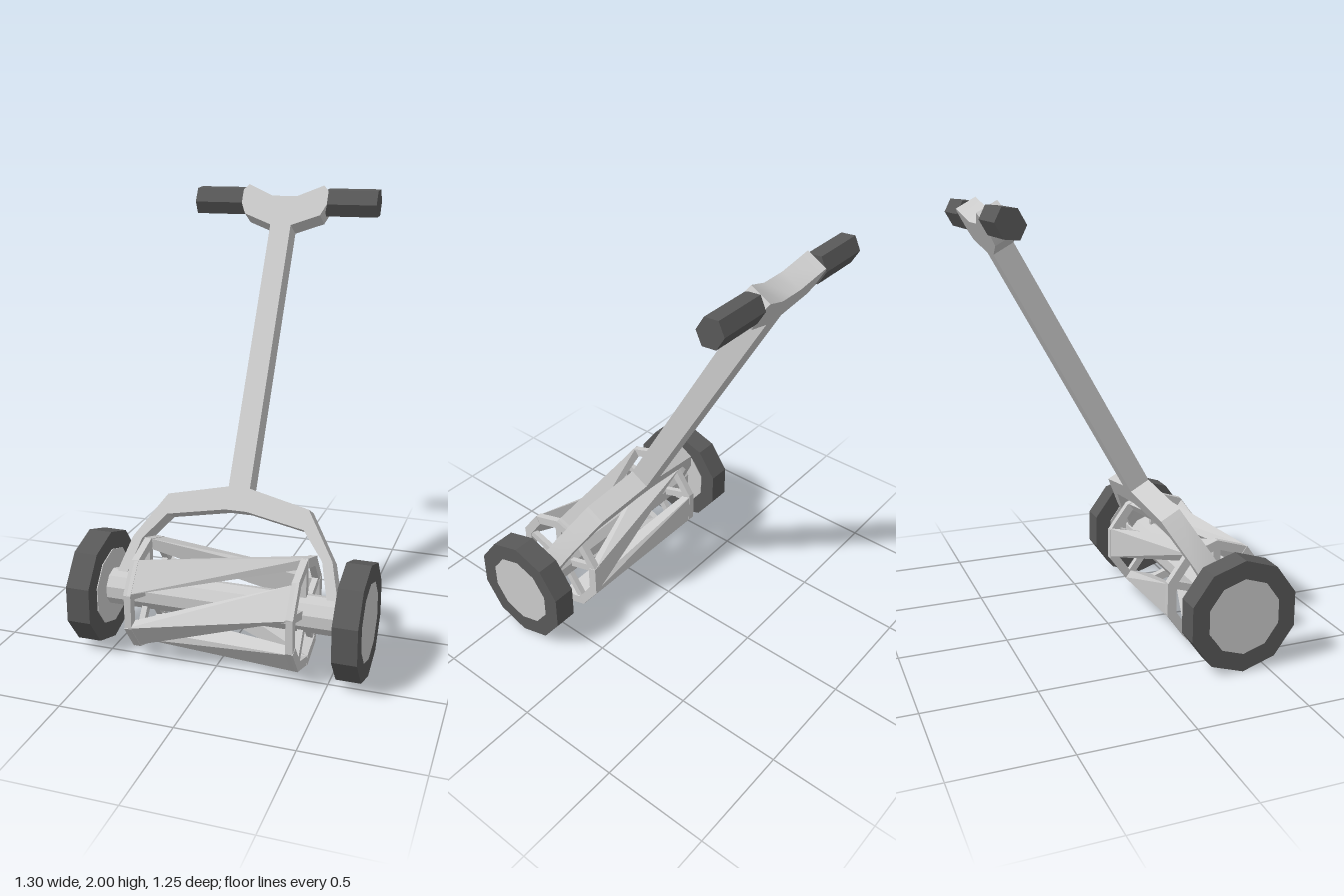
import * as THREE from 'three';
import { toCreasedNormals } from 'three/addons/utils/BufferGeometryUtils.js';

const AXLE_Y = 0.257, AXLE_Z = 0.383;
const TILT = THREE.MathUtils.degToRad(29.3);
const STEP = Math.PI / 5; // ten-sided wheels and reel
const REEL_R = 0.253, REEL_INNER = 0.208, REEL_X = 0.378;

const metal = new THREE.MeshStandardMaterial({ color: 0xcccccc, flatShading: true });
const smoothMetal = new THREE.MeshStandardMaterial({ color: 0xcccccc });
const rubber = new THREE.MeshStandardMaterial({ color: 0x595959, flatShading: true });

function add(parent, name, geometry, material) {
  const mesh = new THREE.Mesh(geometry, material);
  mesh.name = name;
  parent.add(mesh);
  return mesh;
}

// Prism lying along x, with a corner pointing up
function prismX(radius, x0, x1, sides) {
  return new THREE.CylinderGeometry(radius, radius, x1 - x0, sides, 1, false, Math.PI / 2)
    .rotateZ(-Math.PI / 2)
    .translate((x0 + x1) / 2, 0, 0);
}

function decagon(radius) {
  const points = [];
  for (let i = 0; i < 10; i++) {
    const a = Math.PI / 2 + i * STEP;
    points.push(new THREE.Vector2(radius * Math.cos(a), radius * Math.sin(a)));
  }
  return points;
}

// Flat end ring of the reel, or tyre
function ringX(outer, inner, x0, x1) {
  const shape = new THREE.Shape(decagon(outer));
  shape.holes.push(new THREE.Path(decagon(inner)));
  return new THREE.ExtrudeGeometry(shape, { depth: x1 - x0, bevelEnabled: false })
    .rotateY(Math.PI / 2)
    .translate(x0, 0, 0);
}

// Box bent into a blade: one decagon side wide, turned by two sides from end to end
function bladeGeometry(start) {
  const geometry = new THREE.BoxGeometry(1, 1, 1);
  const p = geometry.attributes.position;
  for (let i = 0; i < p.count; i++) {
    const right = p.getY(i) > 0;
    const a = start + (p.getX(i) > 0 ? STEP : 0) + (right ? 2 * STEP : 0);
    const r = p.getZ(i) < 0 ? REEL_R : REEL_INNER;
    p.setXYZ(i, right ? REEL_X : -REEL_X, r * Math.sin(a), r * Math.cos(a));
  }
  geometry.computeVertexNormals();
  return geometry;
}

// Yoke, shaft and crosspiece cut from one plate
function frameGeometry() {
  const half = [
    [0, 1.915], [0.06, 1.915], [0.185, 1.972], [0.21, 1.945], [0.21, 1.875], [0.185, 1.82],
    [0.05, 1.767], [0.05, 0.5], [0.33, 0.437], [0.465, 0.225], [0.51, 0.06],
    [0.462, 0.06], [0.42, 0.22], [0.32, 0.345], [0.05, 0.395], [0, 0.395],
  ];
  const mirrored = half.slice(1, -1).reverse().map(([x, y]) => [-x, y]);
  const shape = new THREE.Shape([...half, ...mirrored].map(([x, y]) => new THREE.Vector2(x, y)));
  const geometry = new THREE.ExtrudeGeometry(shape, { depth: 0.1, bevelEnabled: false });
  return toCreasedNormals(geometry.translate(0, 0, -0.05), 0.7);
}

export function createModel() {
  const model = new THREE.Group();
  model.name = 'reelMower';

  // Everything turning about the axle
  const base = new THREE.Group();
  base.name = 'wheelsAndReel';
  base.position.set(0, AXLE_Y, AXLE_Z);
  model.add(base);
  add(base, 'axle', prismX(0.083, -0.54, 0.54, 10), metal);

  const reel = new THREE.Group();
  reel.name = 'reel';
  base.add(reel);
  for (let k = 0; k < 5; k++) {
    add(reel, 'blade', bladeGeometry(STEP / 2 + k * 2 * STEP), metal);
  }

  for (const side of [-1, 1]) {
    const span = (a, b) => (side > 0 ? [a, b] : [-b, -a]);
    add(base, 'tyre', ringX(0.257, 0.174, ...span(0.54, 0.648)), rubber);
    add(base, 'wheelHub', prismX(0.175, ...span(0.536, 0.648), 10), metal);
    add(reel, 'reelRing', ringX(REEL_R - 0.002, REEL_INNER, ...span(0.345, 0.376)), metal);
    for (let k = 0; k < 5; k++) {
      const spoke = new THREE.BoxGeometry(0.026, 0.15, 0.035)
        .translate(side * 0.36, 0.14, 0)
        .rotateX(k * 2 * STEP);
      add(reel, 'spoke', spoke, metal);
    }
  }

  // Leaning handle
  const handle = new THREE.Group();
  handle.name = 'handle';
  handle.position.set(0, AXLE_Y, AXLE_Z);
  handle.rotation.x = -TILT;
  model.add(handle);
  add(handle, 'frame', frameGeometry(), smoothMetal);
  for (const side of [-1, 1]) {
    const grip = add(handle, 'grip', prismX(0.072, 0.2, 0.447, 6), rubber);
    if (side < 0) grip.geometry.translate(-0.647, 0, 0);
    grip.geometry.scale(1, 1, 0.85);
    grip.position.set(0, 1.912, -0.004);
  }
  return model;
}
